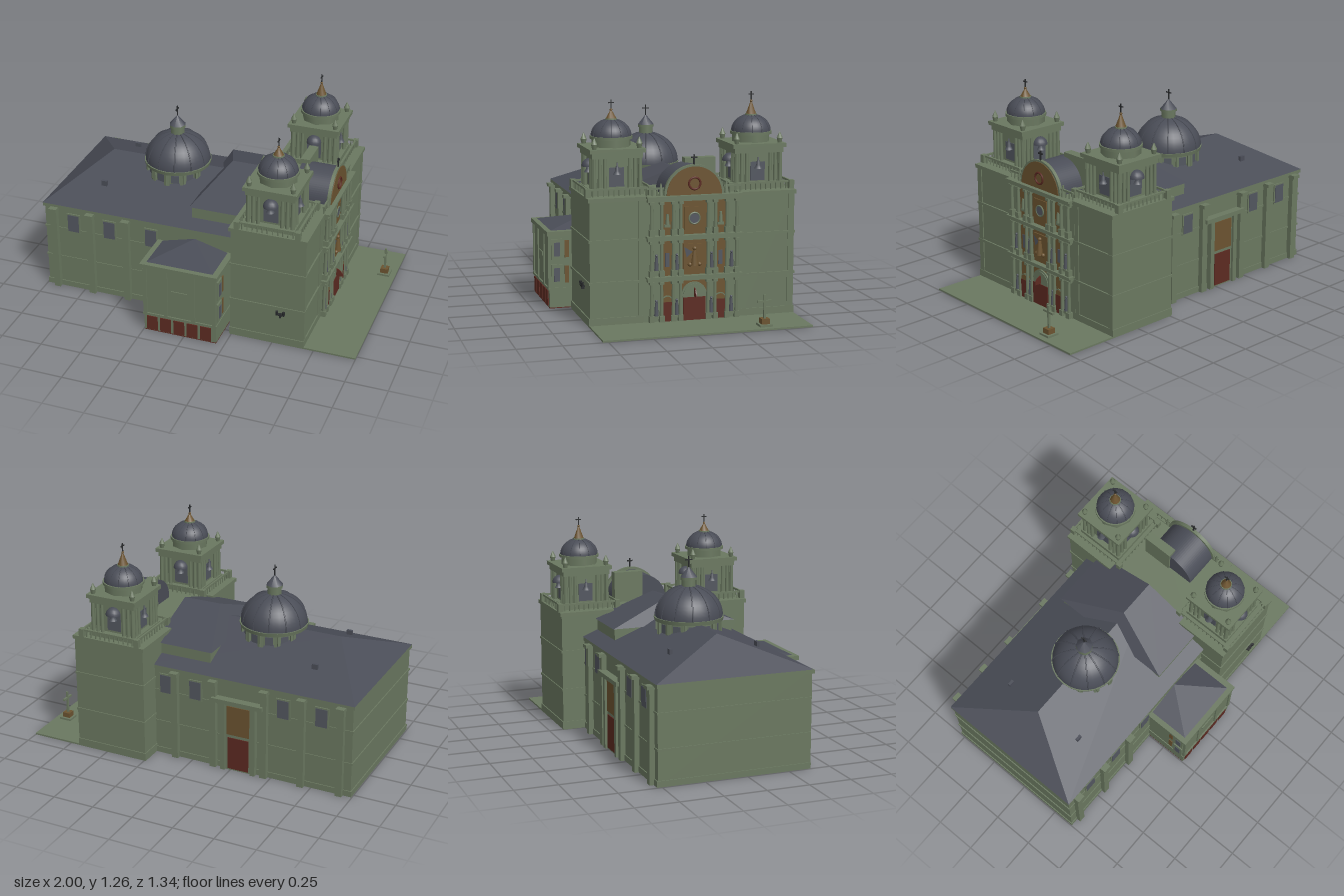
import * as THREE from 'three';

const mat = (name, color) => Object.assign(new THREE.MeshStandardMaterial({ color }), { name });

export function createModel() {
  const root = new THREE.Group();
  root.name = 'church';
  const M = {
    wall: mat('green stone', 0x6a7860), roof: mat('slate roof', 0x4a4d57), red: mat('red door', 0x5c2a21),
    gold: mat('ochre panel', 0x6b5330), glass: mat('grey glass', 0x52565f), iron: mat('dark iron', 0x282a2c),
    statue: mat('grey statue', 0x50545c),
  };
  const AX = -0.068; // z of the church's long axis

  const add = (name, geo, m, x = 0, y = 0, z = 0, parent = root) => {
    const mesh = new THREE.Mesh(geo, m);
    mesh.name = name;
    mesh.position.set(x, y, z);
    parent.add(mesh);
    return mesh;
  };
  // Box given by its limits
  const box = (name, m, x0, x1, y0, y1, z0, z1, parent = root) =>
    add(name, new THREE.BoxGeometry(x1 - x0, y1 - y0, z1 - z0), m, (x0 + x1) / 2, (y0 + y1) / 2, (z0 + z1) / 2, parent);
  const cyl = (name, m, r0, r1, y0, y1, x, z, parent = root, n = 10) =>
    add(name, new THREE.CylinderGeometry(r1, r0, y1 - y0, n), m, x, (y0 + y1) / 2, z, parent);
  // Flat faces from corner lists, counter-clockwise from outside
  const faces = (name, m, list) => {
    const p = [];
    list.forEach(f => { for (let i = 1; i < f.length - 1; i++) p.push(...f[0], ...f[i], ...f[i + 1]); });
    const g = new THREE.BufferGeometry();
    g.setAttribute('position', new THREE.Float32BufferAttribute(p, 3));
    g.computeVertexNormals();
    return add(name, g, m);
  };
  // Roof hipped at -x, gabled at +x
  const hip = (name, x0, x1, xr, y0, y1, z0, z1) => {
    const a = [x0, y0, z0], b = [x1, y0, z0], c = [x1, y0, z1], d = [x0, y0, z1];
    const e = [xr, y1, (z0 + z1) / 2], f = [x1, y1, (z0 + z1) / 2];
    faces(name, M.roof, [[d, c, f, e], [b, a, e, f], [a, d, e], [c, b, f], [a, b, c, d]]);
  };
  // Round-headed plate facing +x; y is the foot, h the height to the springing
  const arch = (name, m, w, h, x, y, z, depth) => {
    const s = new THREE.Shape();
    s.moveTo(-w, 0);
    s.lineTo(w, 0);
    s.lineTo(w, h);
    s.absarc(0, h, w, 0, Math.PI, false);
    s.closePath();
    const g = new THREE.ExtrudeGeometry(s, { depth, bevelEnabled: false, curveSegments: 20 });
    return add(name, g.rotateY(Math.PI / 2), m, x, y, z);
  };
  const cross = (x, y, z, h, parent = root, m = M.iron, t = 0.006) => {
    box('crossPost', m, x - t / 2, x + t / 2, y, y + h, z - t / 2, z + t / 2, parent);
    box('crossArm', m, x - t / 2, x + t / 2, y + h * 0.66, y + h * 0.66 + t, z - h * 0.3, z + h * 0.3, parent);
  };
  // Ribbed dome from a quarter ellipse
  const dome = (name, r, h, x, y, z, ribs, parent = root) => {
    add(name, new THREE.SphereGeometry(r, 32, 12, 0, Math.PI * 2, 0, Math.PI / 2), M.roof, x, y, z, parent).scale.y = h / r;
    const pts = Array.from({ length: 9 }, (_, i) => {
      const a = i / 8 * 1.45;
      return new THREE.Vector3(Math.cos(a) * r, Math.sin(a) * h, 0);
    });
    const g = new THREE.TubeGeometry(new THREE.CatmullRomCurve3(pts), 12, r * 0.022, 4);
    for (let i = 0; i < ribs; i++) add('domeRib', g, M.roof, x, y, z, parent).rotation.y = (i + 0.5) / ribs * Math.PI * 2;
  };
  const rail = (x0, x1, z0, z1, parent) => {
    const t = 0.005, n = Math.max(2, Math.round((x1 - x0 + z1 - z0) / 0.03));
    box('handrail', M.wall, x0 - t, x1 + t, 0.757, 0.768, z0 - t, z1 + t, parent);
    for (let i = 0; i <= n; i++) cyl('baluster', M.wall, 0.004, 0.004, 0.72, 0.76, x0 + (x1 - x0) * i / n, z0 + (z1 - z0) * i / n, parent, 6);
  };

  // Forecourt and its stone cross
  box('forecourt', M.wall, 0.24, 1, 0, 0.01, -0.665, 0.53);
  box('crossStep', M.wall, 0.893, 0.967, 0.01, 0.022, -0.442, -0.368);
  box('crossPedestal', M.gold, 0.907, 0.953, 0.022, 0.052, -0.428, -0.382);
  cross(0.93, 0.052, -0.405, 0.135, root, M.wall, 0.012);

  // Nave with hipped roof
  box('naveWalls', M.wall, -0.99, 0.3, 0, 0.56, -0.522, 0.378);
  box('naveCornice', M.wall, -1, 0.28, 0.545, 0.567, -0.53, 0.388);
  for (const y of [0.2, 0.4]) box('naveBand', M.wall, -0.996, 0.25, y, y + 0.012, -0.527, 0.383);
  box('navePlinth', M.wall, -0.996, 0.25, 0, 0.035, -0.528, 0.384);
  hip('naveRoof', -1, 0.28, -0.725, 0.567, 0.75, -0.533, 0.39);
  const buttress = (x, z, s) => {
    box('buttress', M.wall, x - 0.02, x + 0.02, 0, 0.53, Math.min(z, z + s * 0.03), Math.max(z, z + s * 0.03));
    box('buttressCap', M.wall, x - 0.025, x + 0.025, 0.53, 0.55, Math.min(z, z + s * 0.045), Math.max(z, z + s * 0.045));
  };
  [-0.925, -0.69, -0.46].forEach(x => buttress(x, 0.378, 1));
  [-0.925, -0.69, -0.46, -0.14, 0.107].forEach(x => buttress(x, -0.522, -1));
  const naveWindow = (x, z) => {
    box('windowFrame', M.wall, x - 0.043, x + 0.043, 0.392, 0.518, z - 0.008, z + 0.008);
    box('windowPane', M.glass, x - 0.035, x + 0.035, 0.4, 0.51, z - 0.011, z + 0.011);
  };
  [-0.805, -0.572, -0.305].forEach(x => naveWindow(x, 0.378));
  [-0.805, -0.572, -0.02, 0.17].forEach(x => naveWindow(x, -0.522));
  for (const z of [-0.33, 0.193]) box('roofVent', M.roof, -0.695, -0.66, 0.62, 0.675, z - 0.008, z + 0.008);

  // Side portal on the far wall
  box('portalSurround', M.wall, -0.41, -0.19, 0, 0.43, -0.54, -0.52);
  box('portalCornice', M.wall, -0.46, -0.14, 0.43, 0.455, -0.57, -0.52);
  box('portalDoor', M.red, -0.365, -0.235, 0.01, 0.21, -0.545, -0.538);
  box('portalPanel', M.gold, -0.37, -0.23, 0.23, 0.41, -0.545, -0.538);
  for (const x of [-0.395, -0.205]) box('portalPilaster', M.wall, x - 0.015, x + 0.015, 0, 0.43, -0.555, -0.52);

  // Raised roof behind the front
  box('raisedWalls', M.wall, -0.075, 0.28, 0.5, 0.672, -0.44, 0.304);
  hip('raisedRoof', -0.088, 0.28, 0.045, 0.672, 0.81, -0.452, 0.314);

  // Crossing dome
  cyl('drum', M.wall, 0.178, 0.178, 0.6, 0.775, -0.305, AX, root, 12);
  for (let i = 0; i < 12; i++) {
    const g = new THREE.Group();
    g.name = 'drumBay';
    g.position.set(-0.305, 0, AX);
    g.rotation.y = (i + 0.5) / 12 * Math.PI * 2;
    root.add(g);
    box('drumWindow', M.glass, -0.023, 0.023, 0.685, 0.735, 0.168, 0.176, g);
    for (const s of [-1, 1]) box('drumPost', M.wall, s * 0.04 - 0.008, s * 0.04 + 0.008, 0.66, 0.76, 0.165, 0.188, g);
  }
  cyl('drumCornice', M.wall, 0.198, 0.203, 0.748, 0.77, -0.305, AX, root, 24);
  dome('crossingDome', 0.195, 0.178, -0.305, 0.768, AX, 12);
  cyl('lantern', M.wall, 0.043, 0.043, 0.92, 0.985, -0.305, AX, root, 8);
  cyl('lanternCornice', M.wall, 0.05, 0.05, 0.98, 0.995, -0.305, AX, root, 8);
  cyl('lanternRoof', M.roof, 0.05, 0.001, 0.995, 1.055, -0.305, AX, root, 8);
  cross(-0.305, 1.045, AX, 0.07);

  // Side annex with five doors
  box('annexWalls', M.wall, -0.245, 0.2, 0.005, 0.45, 0.37, 0.65);
  box('annexFloor', M.red, -0.245, 0.2, 0, 0.005, 0.37, 0.65);
  box('annexCornice', M.wall, -0.262, 0.21, 0.43, 0.455, 0.37, 0.665);
  box('annexBand', M.wall, -0.25, 0.205, 0.108, 0.122, 0.37, 0.658);
  faces('annexRoof', M.roof, [[[-0.23, 0.456, 0.635], [0.175, 0.456, 0.635], [-0.027, 0.51, 0.385]],
    [[0.175, 0.456, 0.635], [0.175, 0.456, 0.385], [-0.027, 0.51, 0.385]],
    [[-0.23, 0.456, 0.385], [-0.23, 0.456, 0.635], [-0.027, 0.51, 0.385]]]);
  for (let i = 0; i < 5; i++) box('annexDoor', M.red, -0.228 + i * 0.083, -0.162 + i * 0.083, 0.01, 0.1, 0.648, 0.656);
  for (const x of [-0.235, -0.107, 0.062, 0.19]) box('annexPilaster', M.wall, x - 0.011, x + 0.011, 0.12, 0.435, 0.645, 0.658);
  box('annexTablet', M.wall, -0.075, 0.025, 0.275, 0.3, 0.648, 0.656);
  for (const x of [-0.245, 0.2]) for (const y of [0.15, 0.3]) {
    box('annexSideFrame', M.wall, x - 0.01, x + 0.01, y - 0.01, y + 0.11, 0.575, 0.64);
    box('annexSideWindow', M.glass, x - 0.013, x + 0.013, y + 0.01, y + 0.09, 0.59, 0.625);
    box('annexSidePanel', M.gold, x - 0.005, x + 0.005, y, y + 0.1, 0.535, 0.56);
  }

  // Twin towers: plain shaft, belfry, dome
  const tower = (z, z0, z1, tip) => {
    box('towerShaft', M.wall, 0.243, 0.685, 0, 0.715, z0, z1);
    box('towerPlinth', M.wall, 0.238, 0.692, 0.01, 0.05, z0 - 0.006, z1 + 0.006);
    for (const y of [0.24, 0.475]) box('towerBand', M.wall, 0.238, 0.694, y, y + 0.014, z0 - 0.006, z1 + 0.006);
    box('towerCornice', M.wall, 0.233, 0.698, 0.7, 0.722, z0 - 0.01, z1 + 0.01);
    for (const s of [z0 + 0.018, z1 - 0.018]) box('towerPilaster', M.wall, 0.65, 0.691, 0.05, 0.7, s - 0.018, s + 0.018);
    const t = new THREE.Group();
    t.name = 'belfry';
    t.position.set(0.46, 0, z);
    root.add(t);
    box('belfryCore', M.wall, -0.118, 0.118, 0.72, 0.95, -0.118, 0.118, t);
    box('belfryBase', M.wall, -0.15, 0.15, 0.72, 0.752, -0.15, 0.15, t);
    box('belfryFrieze', M.wall, -0.145, 0.145, 0.925, 0.955, -0.145, 0.145, t);
    box('belfryCornice', M.wall, -0.158, 0.158, 0.955, 0.978, -0.158, 0.158, t);
    const bell = new THREE.LatheGeometry([[0.024, 0], [0.019, 0.008], [0.012, 0.02], [0.01, 0.04], [0.004, 0.048], [0.004, 0.065], [0, 0.065]]
      .map(p => new THREE.Vector2(...p)), 14);
    for (let k = 0; k < 4; k++) {
      const g = new THREE.Group();
      g.name = 'belfrySide';
      g.rotation.y = k * Math.PI / 2;
      t.add(g);
      box('belfryOpening', M.glass, -0.043, 0.043, 0.765, 0.872, 0.115, 0.122, g);
      add('bell', bell, M.statue, 0, 0.835, 0.132, g);
      for (const s of [-1, 1]) {
        for (const u of [0.07, 0.1, 0.13]) cyl('belfryColumn', M.wall, 0.011, 0.009, 0.752, 0.93, s * u, 0.134, g);
        add('pedestalBlock', new THREE.BoxGeometry(0.03, 0.05, 0.03), M.wall, s * 0.18, 0.745, 0.18, g);
      }
      rail(-0.18, 0.18, 0.18, 0.18, g);
      cyl('urn', M.wall, 0.012, 0.018, 0.978, 1.005, 0.128, 0.128, g, 8);
      cyl('urnTop', M.wall, 0.018, 0.002, 1.005, 1.04, 0.128, 0.128, g, 8);
    }
    // Small hoods over the side openings
    for (const s of [-1, 1]) add('belfryHood', new THREE.SphereGeometry(0.045, 14, 6, 0, Math.PI * 2, 0, Math.PI / 2), M.roof, 0, 0.868, s * 0.125, t);
    cyl('towerDrum', M.wall, 0.112, 0.112, 0.975, 1.035, 0, 0, t, 8);
    cyl('towerDrumCornice', M.wall, 0.12, 0.12, 1.02, 1.036, 0, 0, t, 24);
    dome('towerDome', 0.112, 0.095, 0, 1.035, 0, 12, t);
    cyl('finialBase', M.wall, 0.036, 0.034, 1.115, 1.133, 0, 0, t, 12);
    cyl('finial', M.gold, 0.03, 0.003, 1.133, tip, 0, 0, t, 10);
    add('finialBall', new THREE.SphereGeometry(0.008, 8, 6), M.gold, 0, tip, 0, t);
    cross(0, tip, 0, 0.055, t);
  };
  tower(0.345, 0.212, 0.527, 1.18);
  tower(-0.48, -0.663, -0.345, 1.205);

  // Central front: three storeys of paired columns
  box('frontBlock', M.wall, 0.28, 0.692, 0, 0.715, -0.35, 0.22);
  const storeys = [[0.012, 0.24], [0.27, 0.47], [0.5, 0.69]];
  storeys.forEach(([y0, y1], k) => {
    const top = k === 2 ? 0.722 : y1 + 0.03;
    box('entablature', M.wall, 0.68, 0.715, y1, top, AX - 0.272, AX + 0.272);
    box('entablatureLip', M.wall, 0.68, 0.73, top - 0.011, top, AX - 0.278, AX + 0.278);
    box('centrePanel', M.gold, 0.69, 0.697, y0, y1, AX - 0.075, AX + 0.075);
    for (const s of [-1, 1]) {
      box('sidePanel', M.gold, 0.69, 0.697, y0, y1, AX + s * 0.155 - 0.03, AX + s * 0.155 + 0.03);
      for (const u of [0.248, 0.19, 0.122, 0.08]) {
        const z = AX + s * u;
        box('columnPedestal', M.wall, 0.69, 0.722, y0, y0 + 0.035, z - 0.014, z + 0.014);
        cyl('frontColumn', M.wall, 0.011, 0.009, y0 + 0.035, y1 - 0.012, 0.707, z);
        box('capital', M.wall, 0.69, 0.72, y1 - 0.014, y1, z - 0.013, z + 0.013);
      }
      if (k < 2) for (const u of [0.219, 0.101]) {
        const z = AX + s * u;
        box('statueBracket', M.wall, 0.69, 0.715, y0 + 0.02, y0 + 0.035, z - 0.013, z + 0.013);
        cyl('statueBody', M.statue, 0.013, 0.008, y0 + 0.035, y0 + 0.11, 0.703, z, root, 8);
        add('statueHead', new THREE.SphereGeometry(0.008, 8, 6), M.statue, 0.703, y0 + 0.118, z);
      }
      const z = AX + s * 0.155;
      if (k === 0) {
        arch('sideDoorFrame', M.wall, 0.034, 0.112, 0.695, y0, z, 0.008);
        arch('sideDoorHead', M.gold, 0.028, 0.112, 0.698, y0, z, 0.008);
        box('sideDoor', M.red, 0.7, 0.709, y0, 0.122, z - 0.028, z + 0.028);
      } else if (k === 1) {
        box('sideWindow', M.glass, 0.695, 0.7, 0.32, 0.4, z - 0.012, z + 0.012);
      } else {
        box('nicheFrame', M.wall, 0.695, 0.703, 0.545, 0.56, z - 0.018, z + 0.018);
        cyl('nicheFigure', M.wall, 0.012, 0.007, 0.56, 0.62, 0.7, z, root, 8);
      }
    }
  });
  // Main door with its arched head
  arch('mainDoorFrame', M.wall, 0.073, 0.143, 0.694, 0.012, AX, 0.012);
  arch('mainDoorHead', M.wall, 0.063, 0.143, 0.7, 0.012, AX, 0.01);
  box('mainDoor', M.red, 0.704, 0.713, 0.012, 0.143, AX - 0.065, AX + 0.065);
  const fan = new THREE.CylinderGeometry(0.05, 0.05, 0.006, 16, 1, false, 0, Math.PI / 2).rotateX(-Math.PI / 2);
  add('doorFin', fan, M.red, 0.7, 0.147, AX);
  // Relief of the middle storey
  box('reliefFrame', M.gold, 0.695, 0.704, 0.29, 0.445, AX - 0.06, AX + 0.06);
  cyl('reliefFigure', M.gold, 0.022, 0.01, 0.325, 0.41, 0.71, AX);
  for (const [u, y] of [[0, 0.42], [0.028, 0.33], [-0.028, 0.33]]) add('reliefBall', new THREE.SphereGeometry(0.012, 10, 8), M.gold, 0.71, y, AX + u);
  faces('reliefRays', M.statue, [[[0.706, 0.43, AX + 0.06], [0.706, 0.4, AX + 0.01], [0.706, 0.37, AX + 0.045]].reverse()]).material.side = THREE.DoubleSide;
  // Round window of the top storey
  box('roseFrame', M.gold, 0.695, 0.703, 0.525, 0.655, AX - 0.055, AX + 0.055);
  add('roseGlass', new THREE.CylinderGeometry(0.028, 0.028, 0.008, 20).rotateZ(Math.PI / 2), M.glass, 0.703, 0.59, AX);
  add('roseRing', new THREE.TorusGeometry(0.031, 0.005, 6, 24).rotateY(Math.PI / 2), M.wall, 0.705, 0.59, AX);

  // Rounded gable with vault behind
  arch('gableVault', M.roof, 0.158, 0.001, 0.475, 0.715, AX, 0.21);
  arch('gableRim', M.wall, 0.174, 0.001, 0.68, 0.715, AX, 0.02);
  arch('gablePanel', M.gold, 0.16, 0.001, 0.698, 0.718, AX, 0.006);
  add('gableRing', new THREE.TorusGeometry(0.033, 0.006, 8, 24).rotateY(Math.PI / 2), M.red, 0.706, 0.785, AX);
  box('gableBackWall', M.wall, 0.465, 0.52, 0.715, 0.9, -0.25, AX);
  cross(0.692, 0.885, AX, 0.06, root, M.iron, 0.008);
  for (const s of [-1, 1]) {
    const z = AX + s * 0.225;
    rail(0.69, 0.69, z - 0.045, z + 0.045, root);
    cyl('gableUrn', M.wall, 0.014, 0.004, 0.72, 0.79, 0.69, AX + s * 0.19, root, 8);
  }

  // Wall lamp on the tower flank
  box('lampBracket', M.iron, 0.525, 0.575, 0.205, 0.212, 0.527, 0.545);
  box('lampStem', M.iron, 0.546, 0.554, 0.19, 0.215, 0.527, 0.545);
  for (const x of [0.53, 0.57]) cyl('lampCup', M.iron, 0.006, 0.009, 0.21, 0.232, x, 0.542, root, 8);

  return root;
}
